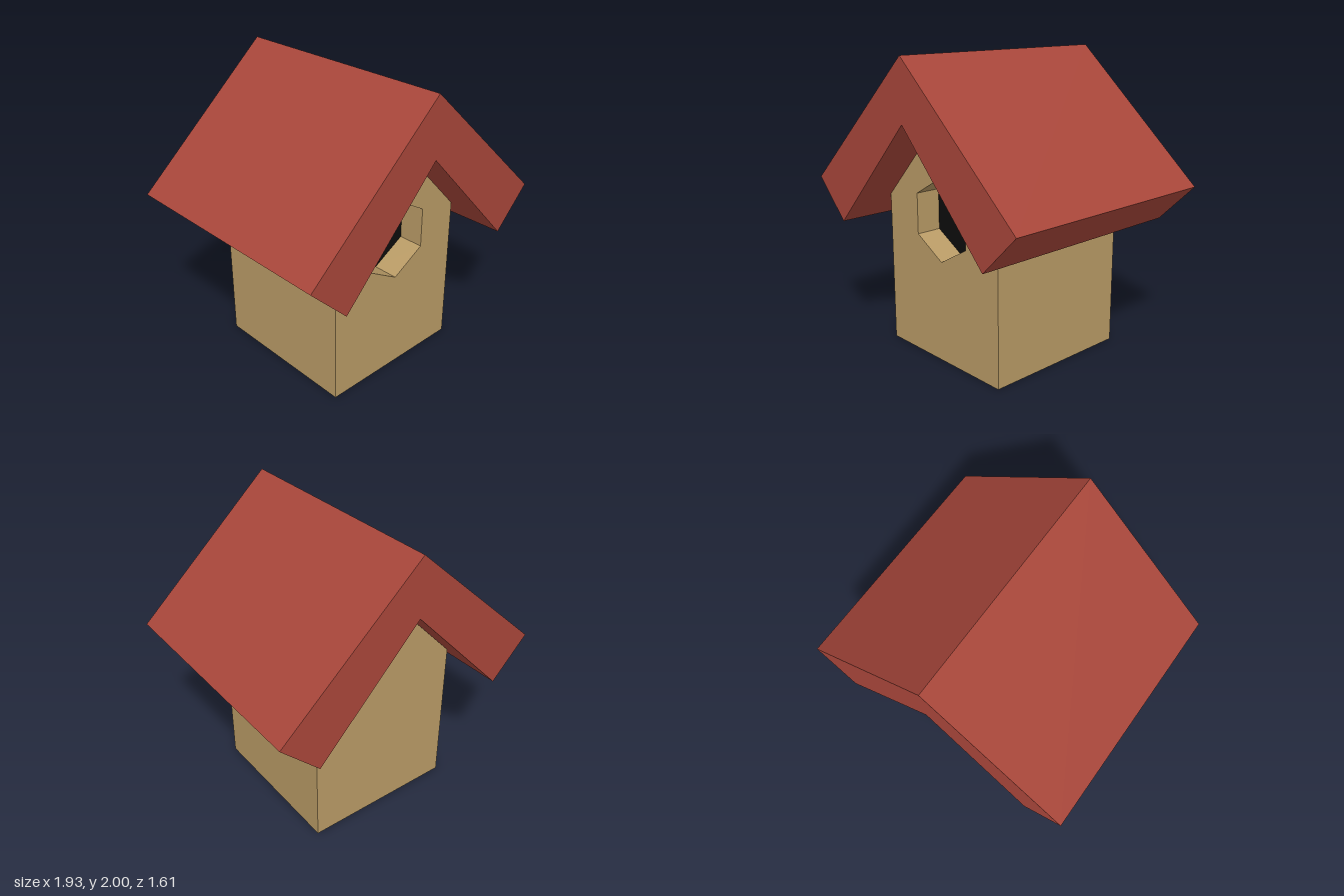
import * as THREE from 'three';

const wood = new THREE.MeshStandardMaterial({ color: 0xb89a65 });
wood.name = 'tan wood';
const roofRed = new THREE.MeshStandardMaterial({ color: 0xa8463a });
roofRed.name = 'roof red';
const black = new THREE.MeshStandardMaterial({ color: 0x0d0d0d });
black.name = 'black';

const HALF = 0.533;        // half width and half depth of the house
const RECESS = 0.18;       // depth of the entrance hole
const HOLE_Y = 0.96, HOLE_R = 0.275;

const points = (list) => list.map(([x, y]) => new THREE.Vector2(x, y));

// Six-sided entrance outline, one corner pointing up
const hexagon = (r) => Array.from({ length: 6 }, (_, i) => {
  const a = Math.PI / 2 + i * Math.PI / 3;
  return [r * Math.cos(a), HOLE_Y + r * Math.sin(a)];
});

// Gabled outline of the house
const gable = () => new THREE.Shape(points([
  [-HALF, 0], [HALF, 0], [HALF, 1.04], [0, 1.6], [-HALF, 1.04],
]));

// Extrude a shape from z0 to z1
function slab(name, shape, z0, z1, material) {
  const geometry = new THREE.ExtrudeGeometry(shape, { depth: z1 - z0, bevelEnabled: false });
  geometry.translate(0, 0, z0);
  const mesh = new THREE.Mesh(geometry, material);
  mesh.name = name;
  return mesh;
}

export function createModel() {
  const model = new THREE.Group();
  model.name = 'birdhouse';

  // Solid house body, with a front wall pierced by the entrance
  const frontShape = gable();
  frontShape.holes.push(new THREE.Path(points(hexagon(HOLE_R))));
  model.add(slab('houseBody', gable(), -HALF, HALF - RECESS, wood));
  model.add(slab('frontWall', frontShape, HALF - RECESS, HALF, wood));

  // Dark face at the bottom of the entrance
  const dark = new THREE.Mesh(new THREE.ShapeGeometry(new THREE.Shape(points(hexagon(HOLE_R)))), black);
  dark.name = 'entranceDark';
  dark.position.z = HALF - RECESS + 0.004;
  model.add(dark);

  // Thick chevron roof overhanging on all sides
  const roofShape = new THREE.Shape(points([
    [0, 2], [-0.967, 1.13], [-0.703, 0.865], [0, 1.6], [0.703, 0.865], [0.967, 1.13],
  ]));
  model.add(slab('roof', roofShape, -0.807, 0.807, roofRed));

  return model;
}
